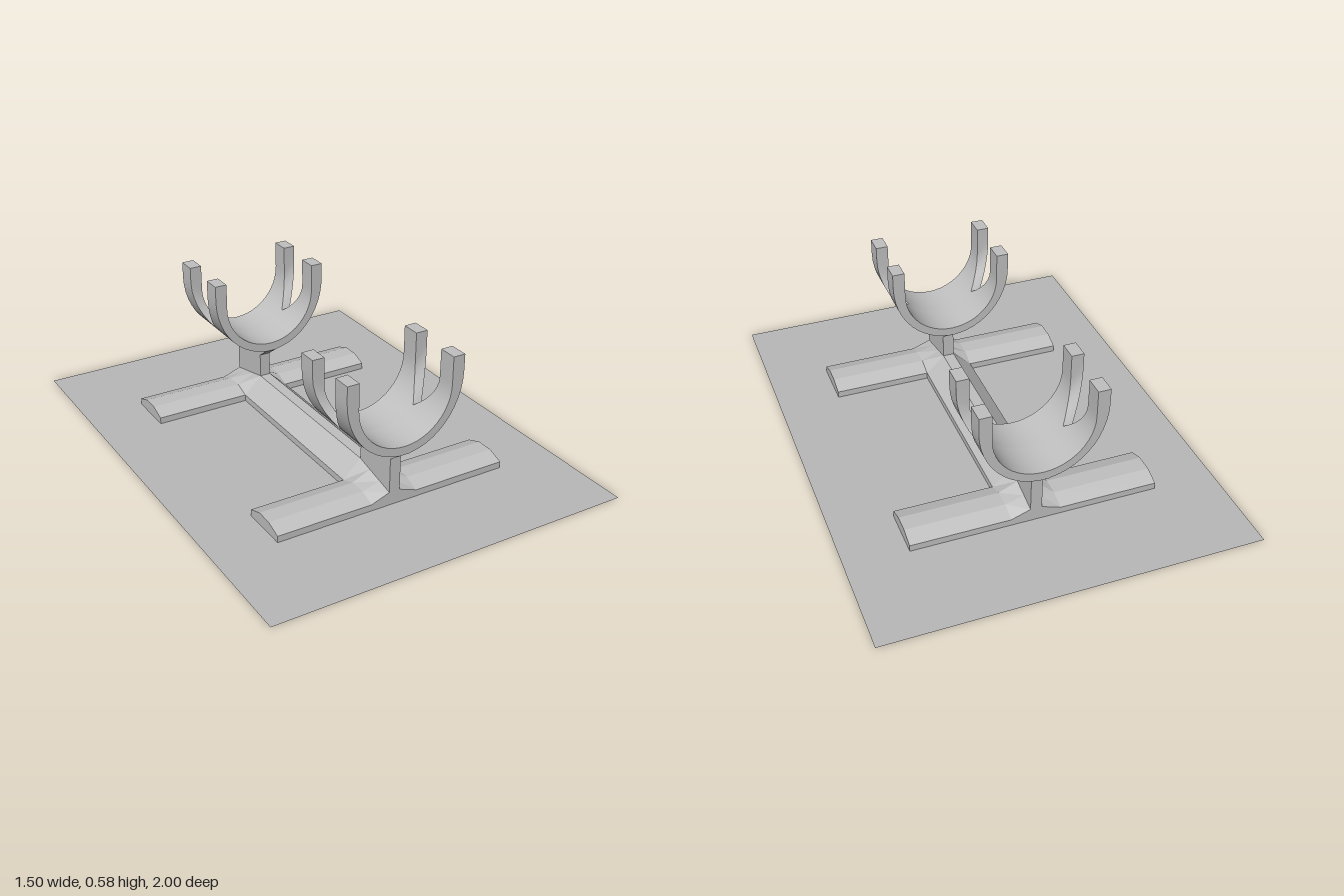
import * as THREE from 'three';
import { toCreasedNormals } from 'three/addons/utils/BufferGeometryUtils.js';

const grey = new THREE.MeshStandardMaterial({ color: 0xc0c0c0 });
grey.name = 'plain grey';
const greySheet = new THREE.MeshStandardMaterial({ color: 0xb8b8b8, side: THREE.DoubleSide });
greySheet.name = 'base grey';

// Closed skin through rings of points, each counterclockwise seen against the direction of travel
function loft(rings, crease) {
  const n = rings[0].length, index = [];
  for (let r = 0; r < rings.length - 1; r++) {
    for (let i = 0; i < n; i++) {
      const a = r * n + i, b = r * n + (i + 1) % n;
      index.push(a, b, b + n, a, b + n, a + n);
    }
  }
  const last = (rings.length - 1) * n;
  for (let i = 1; i < n - 1; i++) {
    index.push(0, i + 1, i, last, last + i, last + i + 1);
  }
  const g = new THREE.BufferGeometry();
  g.setAttribute('position', new THREE.Float32BufferAttribute(rings.flat(2), 3));
  g.setIndex(index);
  return toCreasedNormals(g, crease);
}

function addMesh(parent, name, geometry, material = grey) {
  const mesh = new THREE.Mesh(geometry, material);
  mesh.name = name;
  parent.add(mesh);
  return mesh;
}

// Cross foot: low chamfered bar that rises into the post; z is local, +z points outward
function footGeometry() {
  const zs = [-0.1, -0.1, -0.035, 0.035, 0.1, 0.1];
  const low = [0, 0.027, 0.05, 0.05, 0.027, 0];
  const high = [0, 0.1, 0.085, 0.07, 0.055, 0];
  const ring = (x, ys) => zs.map((z, i) => [x, ys[i], z]);
  return loft([
    ring(-0.5, low), ring(-0.1, low), ring(-0.023, high),
    ring(0.023, high), ring(0.1, low), ring(0.5, low),
  ], 0.05);
}

// Upright post, flared under the cradle
function postGeometry() {
  const side = [[-0.1, 0], [-0.1, 0.2], [-0.155, 0.24], [-0.155, 0.25],
    [0.155, 0.25], [0.155, 0.24], [0.1, 0.2], [0.1, 0]];
  const shape = new THREE.Shape(side.map(([z, y]) => new THREE.Vector2(z, y)));
  const g = new THREE.ExtrudeGeometry(shape, { depth: 0.046, bevelEnabled: false });
  return g.translate(0, 0, -0.023).rotateY(Math.PI / 2);
}

// Half of the U cradle; the notch widens towards the prong tips
function cradleHalf(sign) {
  const rings = [];
  const addRing = (xo, yo, xi, yi) => {
    const w = 0.078 * THREE.MathUtils.clamp((Math.abs(xi) - 0.1415) / 0.0585, 0, 1);
    const [z0, z1] = sign > 0 ? [w, 0.155] : [-0.155, -w];
    rings.push([[xo, yo, z0], [xi, yi, z0], [xi, yi, z1], [xo, yo, z1]]);
  };
  addRing(-0.25, 0.585, -0.2, 0.585);
  for (let k = -12; k <= 12; k++) {
    const a = k * Math.PI / 24, s = Math.sin(a), c = Math.cos(a);
    addRing(0.25 * s, 0.52 - 0.28 * c, 0.2 * s, 0.475 - 0.2 * c);
  }
  addRing(0.25, 0.585, 0.2, 0.585);
  return loft(rings, 0.5);
}

export function createModel() {
  const model = new THREE.Group();
  model.name = 'cradleStand';

  // Thin ground sheet
  addMesh(model, 'basePlate', new THREE.PlaneGeometry(1.5, 2).rotateX(-Math.PI / 2), greySheet);

  // Spine joining the two feet
  const spine = new THREE.Shape([[-0.1, 0], [0.1, 0], [0.1, 0.027], [0.023, 0.1], [-0.023, 0.1], [-0.1, 0.027]]
    .map(([x, y]) => new THREE.Vector2(x, y)));
  addMesh(model, 'spine',
    new THREE.ExtrudeGeometry(spine, { depth: 0.8, bevelEnabled: false }).translate(0, 0, -0.4));

  // Front and rear supports, the rear one turned about
  const foot = footGeometry(), post = postGeometry();
  const halves = [cradleHalf(1), cradleHalf(-1)];
  for (const end of [1, -1]) {
    const support = new THREE.Group();
    support.name = end > 0 ? 'frontSupport' : 'rearSupport';
    addMesh(support, 'foot', foot);
    addMesh(support, 'post', post);
    addMesh(support, 'cradleOuterProngs', halves[0]);
    addMesh(support, 'cradleInnerProngs', halves[1]);
    support.position.z = 0.5 * end;
    if (end < 0) support.rotation.y = Math.PI;
    model.add(support);
  }
  return model;
}
